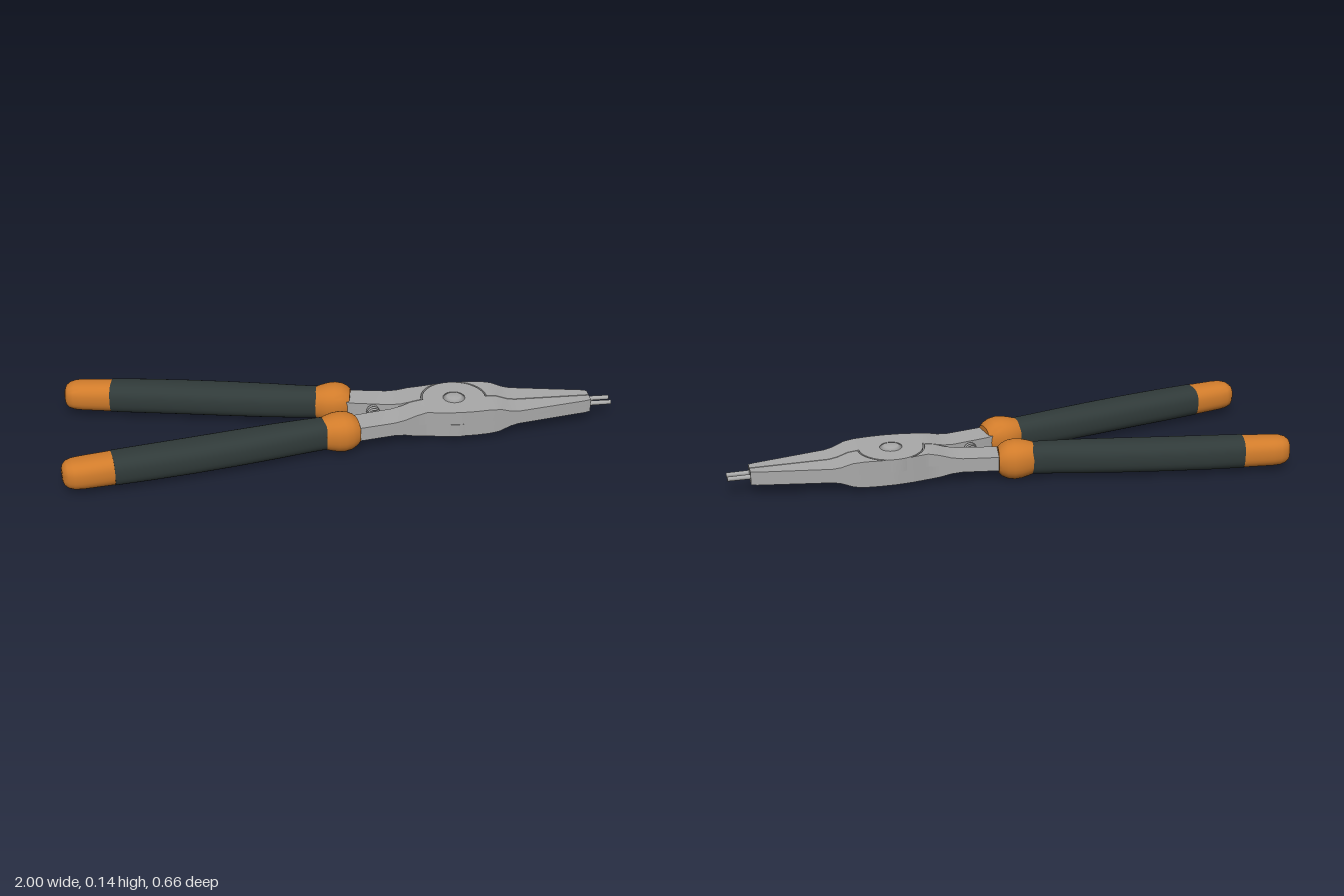
import * as THREE from 'three';
import { toCreasedNormals } from 'three/addons/utils/BufferGeometryUtils.js';

const mat = (name, color) => {
  const m = new THREE.MeshStandardMaterial({ color });
  m.name = name;
  return m;
};

// Skin a list of equal-sized rings that advance along +x, with closed ends.
function loft(rings, crease) {
  const n = rings[0].length, pos = rings.flat(2), idx = [];
  for (let i = 0; i < rings.length - 1; i++) {
    for (let j = 0; j < n; j++) {
      const a = i * n + j, b = i * n + (j + 1) % n;
      idx.push(a, b, a + n, b, b + n, a + n);
    }
  }
  const last = (rings.length - 1) * n;
  for (let j = 1; j < n - 1; j++) {
    idx.push(0, j + 1, j, last, last + j, last + j + 1);
  }
  const g = new THREE.BufferGeometry();
  g.setAttribute('position', new THREE.Float32BufferAttribute(pos, 3));
  g.setIndex(idx);
  return toCreasedNormals(g, crease);
}

// Piecewise linear lookup in [x, value] pairs.
function lookup(table, x) {
  if (x <= table[0][0]) return table[0][1];
  for (let i = 1; i < table.length; i++) {
    const [x0, v0] = table[i - 1], [x1, v1] = table[i];
    if (x <= x1) return v0 + (v1 - v0) * (x - x0) / (x1 - x0);
  }
  return table[table.length - 1][1];
}

// Rounded grip sections: [x, z, half width, half height], tilted to the handle axis.
function grip(stations, power) {
  const soft = v => Math.sign(v) * Math.abs(v) ** (2 / power);
  return loft(stations.map(([x, z, w, h]) => {
    const ring = [];
    for (let j = 0; j < 32; j++) {
      const t = j / 32 * Math.PI * 2, s = w * soft(Math.sin(t));
      ring.push([x + s * 0.17, h * soft(Math.cos(t)), z + s * 0.985]);
    }
    return ring;
  }), 0.7);
}

// Plan outline and thickness of one steel half.
const OUTER = [[0, 0.15], [0.05, 0.142], [0.3, 0.098], [0.36, 0.108], [0.42, 0.113], [0.48, 0.112],
  [0.55, 0.105], [0.62, 0.092], [0.9, 0.041], [0.92, 0.034]];
const INNER = [[0, 0.06], [0.05, 0.042], [0.22, 0.007], [0.25, 0.002], [1, 0.002]];
const HEIGHT = [[0, 0.026], [0.18, 0.026], [0.22, 0.031], [0.26, 0.042], [0.3, 0.049], [0.53, 0.049],
  [0.57, 0.045], [0.61, 0.031], [0.64, 0.026], [0.92, 0.025]];
const PIVOT = 0.415, DISC = 0.115, BITE = 0.121;

// One lap layer: the upper carries the pivot disc, the lower is cut back around the other disc.
function layer(upper) {
  const r = upper ? DISC : BITE;
  const xs = [...OUTER, ...INNER, ...HEIGHT].map(p => p[0]).filter(x => x <= 0.92);
  for (let i = 0; i <= 32; i++) xs.push(PIVOT - r * Math.cos(i / 32 * Math.PI));
  const sorted = xs.sort((a, b) => a - b).filter((x, i, all) => i === 0 || x - all[i - 1] > 1e-5);
  return loft(sorted.map(x => {
    const out = lookup(OUTER, x), h = lookup(HEIGHT, x);
    const arc = Math.sqrt(Math.max(0, r * r - (x - PIVOT) ** 2));
    let inn = lookup(INNER, x);
    if (arc > 1e-4) inn = upper ? Math.min(inn, -arc) : Math.max(inn, Math.min(out, arc));
    const top = upper ? h : 0, bottom = upper ? 0 : -h;
    return [[x, top, inn], [x, top, out], [x, bottom, out], [x, bottom, inn]];
  }), 0.45);
}

export function createModel() {
  const steel = mat('steel', 0xa9a9a9);
  const rubber = mat('dark grip', 0x303a39);
  const orange = mat('orange grip', 0xd17c2b);

  const model = new THREE.Group();
  model.name = 'pliers';
  const body = new THREE.Group();
  body.name = 'pliersBody';
  body.position.y = 0.071;
  model.add(body);

  const add = (parent, name, geometry, material) => {
    const m = new THREE.Mesh(geometry, material);
    m.name = name;
    parent.add(m);
    return m;
  };

  // Two identical halves, the second turned over about the long axis
  for (const side of ['front', 'back']) {
    const half = new THREE.Group();
    half.name = side + 'Half';
    if (side === 'back') half.rotation.x = Math.PI;
    body.add(half);

    add(half, 'upperLap', layer(true), steel);
    add(half, 'lowerLap', layer(false), steel);

    // Jaw pin
    const pin = add(half, 'jawPin', new THREE.CylinderGeometry(0.008, 0.009, 0.12, 16), steel);
    pin.rotation.z = -Math.PI / 2;
    pin.position.set(0.94, 0, 0.018);

    // Handle grip: rounded end, sleeve and collar
    add(half, 'handleEnd', grip([
      [-0.997, 0.283, 0.018, 0.022], [-0.992, 0.283, 0.032, 0.036], [-0.98, 0.281, 0.045, 0.046],
      [-0.96, 0.279, 0.053, 0.052], [-0.93, 0.275, 0.056, 0.054], [-0.825, 0.257, 0.058, 0.056],
    ], 2.5), orange);
    add(half, 'handleSleeve', grip([
      [-0.825, 0.257, 0.059, 0.057], [-0.7, 0.236, 0.062, 0.058], [-0.55, 0.209, 0.064, 0.058],
      [-0.4, 0.179, 0.064, 0.058], [-0.25, 0.148, 0.06, 0.058], [-0.15, 0.128, 0.055, 0.057],
      [-0.07, 0.114, 0.052, 0.056],
    ], 2.6), rubber);
    add(half, 'handleCollar', grip([
      [-0.078, 0.115, 0.053, 0.057], [-0.06, 0.113, 0.06, 0.063], [-0.035, 0.111, 0.067, 0.069],
      [-0.01, 0.109, 0.069, 0.071], [0.015, 0.106, 0.065, 0.067], [0.035, 0.103, 0.057, 0.057],
      [0.046, 0.101, 0.05, 0.045],
    ], 2.3), orange);
  }

  // Pivot rivet with slightly domed heads
  const rivet = add(body, 'pivotRivet', new THREE.LatheGeometry([
    [0, -0.056], [0.025, -0.055], [0.04, -0.05], [0.04, 0.05], [0.025, 0.055], [0, 0.056],
  ].map(([x, y]) => new THREE.Vector2(x, y)), 32), steel);
  rivet.position.x = PIVOT;

  // Return spring between the arms
  const coil = [];
  for (let i = 0; i <= 96; i++) {
    const t = i / 96, a = t * Math.PI * 12;
    coil.push(new THREE.Vector3(0.12 + 0.02 * Math.cos(a), 0.02 * Math.sin(a), -0.042 + 0.084 * t));
  }
  add(body, 'returnSpring', new THREE.TubeGeometry(new THREE.CatmullRomCurve3(coil), 192, 0.0045, 8), steel);

  return model;
}
